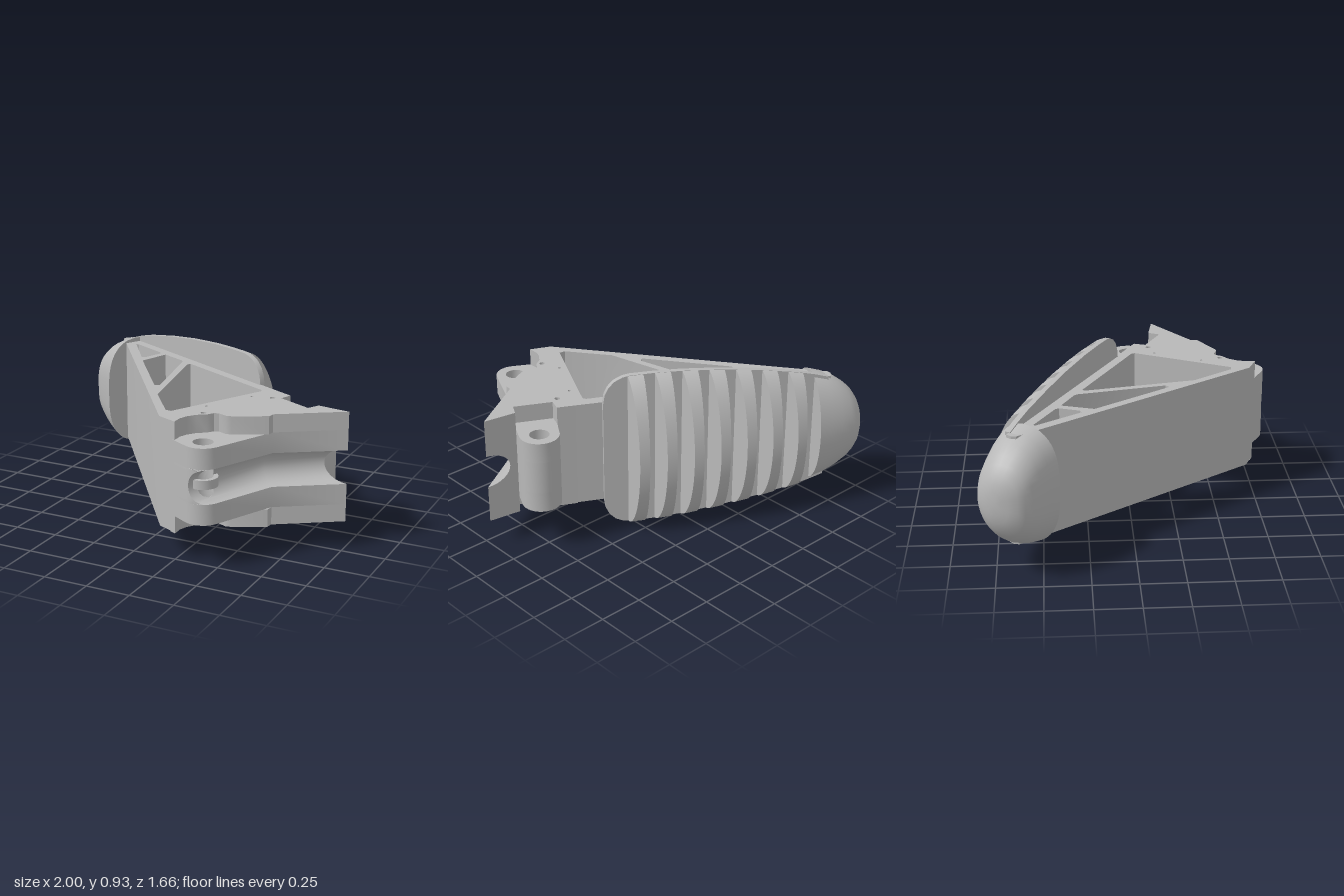
import * as THREE from 'three';
import { toCreasedNormals } from 'three/addons/utils/BufferGeometryUtils.js';

const RAD = Math.PI / 180;
const MID = 0.465; // height of the plane of symmetry
const polar = ([x, z], r, deg) => [x + r * Math.cos(deg * RAD), z + r * Math.sin(deg * RAD)];
const arc = (c, r, from, to, n) =>
  Array.from({ length: n + 1 }, (_, i) => polar(c, r, from + (to - from) * i / n));
const circle = (c, r, n = 24) => arc(c, r, 25.9, 385.9 - 360 / n, n - 1);

// Extrudes a plan outline of [x, z] points from y0 to y1
function slab(outline, holes, y0, y1) {
  const toPts = (list) => list.map(([x, z]) => new THREE.Vector2(x, -z));
  const shape = new THREE.Shape(toPts(outline));
  shape.holes = holes.map((h) => new THREE.Path(toPts(h)));
  const geo = new THREE.ExtrudeGeometry(shape, { depth: y1 - y0, bevelEnabled: false });
  geo.rotateX(-Math.PI / 2).translate(0, y0, 0);
  return toCreasedNormals(geo, 0.6);
}

// Skins a stack of closed rings with equal point counts
function loft(rings, crease = 0.6) {
  const n = rings[0].length, index = [];
  for (let i = 0; i < rings.length - 1; i++) {
    for (let j = 0; j < n; j++) {
      const a = i * n + j, b = i * n + (j + 1) % n;
      index.push(a, a + n, b, b, a + n, b + n);
    }
  }
  const geo = new THREE.BufferGeometry();
  geo.setAttribute('position', new THREE.Float32BufferAttribute(rings.flat(2), 3));
  geo.setIndex(index);
  return toCreasedNormals(geo, crease);
}

// Linear lookup in a table of [u, value]
function lookup(table, u) {
  for (let i = 1; i < table.length; i++) {
    const [u0, a] = table[i - 1], [u1, b] = table[i];
    if (u <= u1) return a + (b - a) * Math.max(0, (u - u0) / (u1 - u0));
  }
  return table[table.length - 1][1];
}

export function createModel() {
  const model = new THREE.Group();
  // Double sided because the groove, bores and fingertip are open skins
  const grey = new THREE.MeshStandardMaterial({ color: 0xb8b8b8, side: THREE.DoubleSide });
  grey.name = 'grey plastic';
  const add = (name, geo, parent = model) => {
    const mesh = new THREE.Mesh(geo, grey);
    mesh.name = name;
    parent.add(mesh);
  };

  // Triangular truss; its narrow end runs into the fingertip
  add('trussFrame', slab(
    [[-0.79, -0.674], [0.52, 0.02], [0.22, 0.745], [0.14, 0.71], [-0.82, -0.624], [-0.815, -0.65]],
    [
      [[-0.68, -0.53], [-0.665, -0.535], [-0.45, -0.42], [-0.44, -0.40], [-0.48, -0.29], [-0.505, -0.28]],
      [[-0.40, -0.39], [-0.25, -0.315], [-0.235, -0.295], [-0.125, 0.20], [-0.15, 0.22], [-0.46, -0.21]],
      [[-0.17, -0.27], [0.425, 0.04], [0.435, 0.06], [0.155, 0.605], [0.12, 0.60], [-0.05, 0.37], [-0.18, -0.25]],
      circle([0.43, 0.18], 0.009, 8), circle([0.285, 0.445], 0.009, 8),
    ], 0.16, 0.775));
  // Lower sliver of the truss end, buried in the fingertip
  add('trussTip', slab([[-0.84, -0.695], [-0.79, -0.674], [-0.82, -0.624], [-0.86, -0.67]], [], 0.24, 0.69));

  // Hub: outer layers are cut back around the two lugs
  const frontLug = [0.4, 0.72], backLug = [0.758, 0.038], R = 0.11, BORE = 0.055;
  const outer = [[0.52, 0.02], [0.61, 0.067], [0.585, 0.135], [0.78, 0.235], [0.815, 0.17], [1, 0.2],
    [0.66, 0.42], [0.655, 0.46], [0.48, 0.548], [0.45, 0.553], [0.40, 0.532], [0.375, 0.54],
    [0.352, 0.575], [0.305, 0.607], [0.27, 0.655], [0.255, 0.70], [0.255, 0.76], [0.22, 0.745]];
  const back = [[0.52, 0.02], [0.61, 0.067], ...arc(backLug, R, -154.5, 25.5, 16), [0.815, 0.17]];
  const middle = [...back, [1, 0.2], [0.66, 0.42], ...arc(frontLug, R, 25.9, 116.6, 10), [0.22, 0.745]];
  const pins = [circle([0.54, 0.15], 0.016, 12), circle([0.323, 0.56], 0.016, 12)];
  const G = 0.095; // groove radius
  for (const s of [-1, 1]) {
    const span = (a, b) => (s > 0 ? [MID + a, MID + b] : [MID - b, MID - a]);
    add('hubOuterLayer', slab(outer, pins, ...span(0.21, 0.31)));
    add('hubLugLayer', slab(middle, [circle(frontLug, BORE), circle(backLug, BORE)], ...span(G, 0.21)));
  }

  // Hub core: the front face is hollowed by a round groove that opens the front bore
  const rings = [];
  for (let i = 0; i <= 16; i++) {
    const t = Math.PI * i / 16, d = G * Math.sin(t), y = MID - G * Math.cos(t);
    const s = R - d, a = Math.acos(Math.min(1, s / BORE)) / RAD;
    const foot = Math.max(s, BORE), end = 25.9 + Math.acos(s / R) / RAD;
    rings.push([
      ...back,
      [1 - 1.47 * d, 0.2 - 0.24 * d],
      [0.66 - 0.777 * d, 0.42 - 0.688 * d],
      polar(frontLug, foot, 25.9 - a),
      ...arc(frontLug, BORE, 25.9 - a, 25.9 + a - 360, 24),
      polar(frontLug, foot, 25.9 + a),
      ...arc(frontLug, R, end, 116.6, 8),
      [0.22, 0.745],
    ].map(([x, z]) => [x, y, z]));
  }
  add('groovedHubCore', loft(rings));
  // Wall of the rear bore through the core
  add('rearBore', loft([MID - G, MID + G].map((y) =>
    circle(backLug, BORE).reverse().map(([x, z]) => [x, y, z]))));
  // Curved strap bridging the open side of the front bore
  add('boreStrap', slab([...arc(frontLug, 0.08, -70, 122, 16), ...arc(frontLug, BORE, 122, -70, 16)],
    [], MID - 0.025, MID + 0.025));

  // Finger pad: local x runs along the truss, local -z points outwards
  const pad = new THREE.Group();
  pad.name = 'fingerPad';
  pad.position.set(-0.85, MID, -0.705);
  pad.rotation.y = -0.486;
  model.add(pad);

  const widths = [[0.09, 0.315], [0.17, 0.34], [0.283, 0.368], [0.51, 0.408], [0.735, 0.438], [0.96, 0.457],
    [1.13, 0.463], [1.25, 0.463], [1.29, 0.456], [1.335, 0.435], [1.37, 0.40], [1.39, 0.36], [1.4, 0.30]];
  const heights = [[0.17, 0.169], [0.287, 0.188], [0.44, 0.207], [0.6, 0.22], [0.75, 0.23],
    [0.9, 0.236], [1.06, 0.238], [1.21, 0.235], [1.3, 0.23]];

  const edge = widths.map(([u, w]) => new THREE.Vector2(u, w));
  const mirrored = edge.map((p) => new THREE.Vector2(p.x, -p.y)).reverse();
  const plate = new THREE.ExtrudeGeometry(new THREE.Shape([...edge, ...mirrored]),
    { depth: 0.03, bevelEnabled: false });
  plate.translate(0, 0, -0.02);
  add('padPlate', toCreasedNormals(plate, 0.6), pad);

  // Tapered ribs whose crests follow one dome
  const crest = [];
  for (let i = 0; i <= 32; i++) {
    const t = Math.cos(Math.PI * i / 32);
    crest.push(new THREE.Vector2(t, Math.pow(Math.max(0, 1 - t * t), 0.6)));
  }
  for (let k = 0; k < 7; k++) {
    const geo = new THREE.ExtrudeGeometry(new THREE.Shape(crest), { depth: 1, bevelEnabled: false });
    const p = geo.attributes.position;
    for (let i = 0; i < p.count; i++) {
      const t = p.getX(i), f = p.getY(i), s = p.getZ(i);
      const u = 0.29 + 0.1545 * k - (s - 0.5) * (0.09 - 0.034 * f);
      p.setXYZ(i, u, t * lookup(widths, u), -0.012 - f * (lookup(heights, u) - 0.012));
    }
    add('padRib', toCreasedNormals(geo, 0.6), pad);
  }

  // Rounded fingertip, squarer on its inner side: rows of [u, lowest, highest, half width]
  const rows = [[-0.125, -0.03, -0.03, 0], [-0.122, -0.06, 0.02, 0.065], [-0.113, -0.10, 0.05, 0.11],
    [-0.095, -0.145, 0.083, 0.155], [-0.067, -0.175, 0.107, 0.2], [-0.03, -0.197, 0.125, 0.238],
    [0.03, -0.214, 0.14, 0.282], [0.1, -0.231, 0.156, 0.315], [0.175, -0.247, 0.17, 0.337],
    [0.175, -0.04, -0.04, 0]];
  const soft = (v, e) => Math.sign(v) * Math.pow(Math.abs(v), e);
  add('fingertip', loft(rows.map(([u, lo, hi, w]) => Array.from({ length: 40 }, (_, j) => {
    const c = Math.cos(j * 9 * RAD), s = Math.sin(j * 9 * RAD), e = s < 0 ? 0.65 : 1;
    const inset = 1 + 0.14 * Math.min(0, s);
    return [u, w * inset * soft(c, e), -((lo + hi) / 2 + (hi - lo) / 2 * soft(s, e))];
  })), 0.8), pad);

  return model;
}
